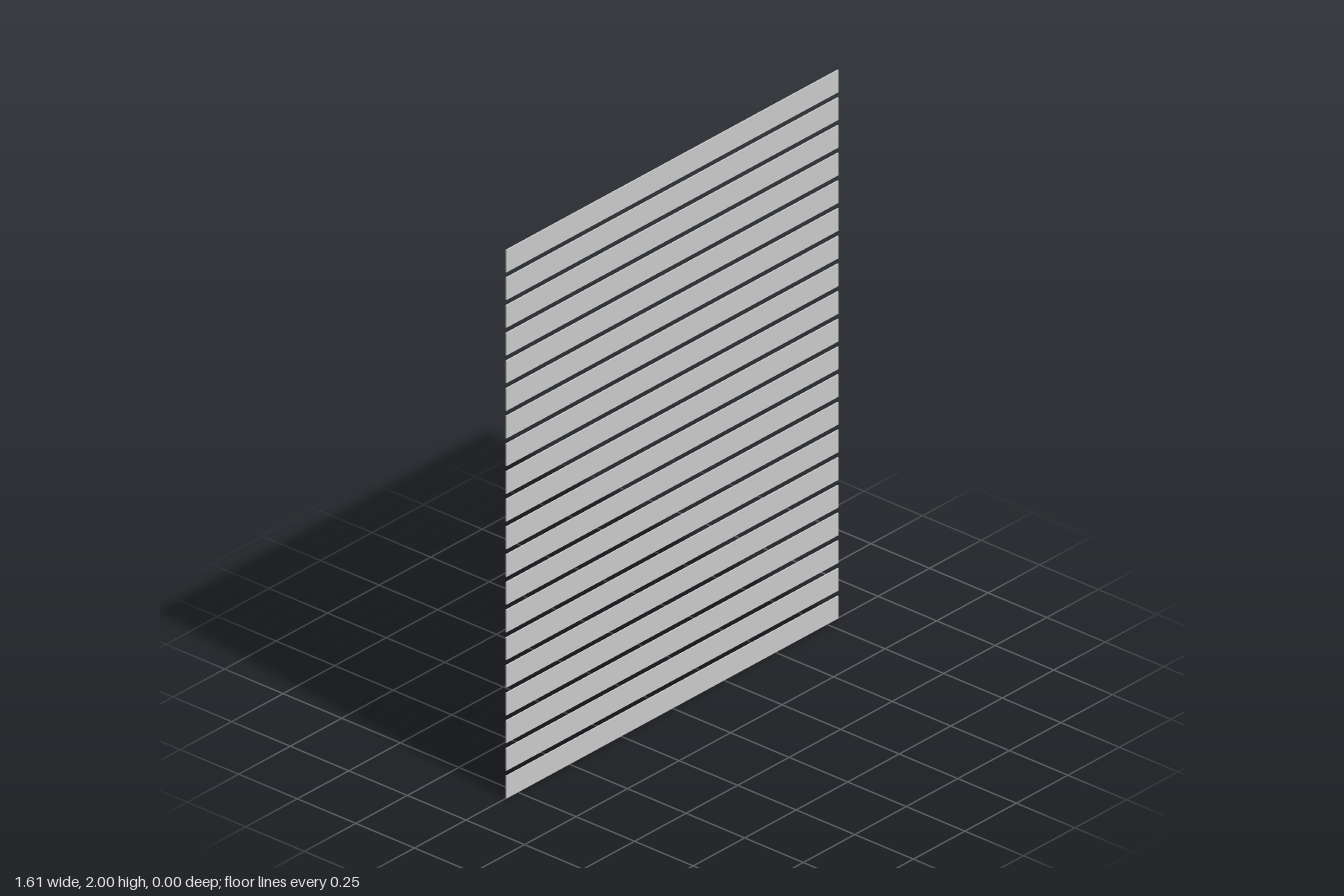
import * as THREE from 'three';

const COUNT = 20;
const WIDTH = 1.612;
const SLAT_HEIGHT = 0.081;
const THICKNESS = 0.005;

export function createModel() {
  const model = new THREE.Group();
  model.name = 'slattedBlind';
  const material = new THREE.MeshStandardMaterial({ color: 0xcccccc });
  const geometry = new THREE.BoxGeometry(WIDTH, SLAT_HEIGHT, THICKNESS);
  const pitch = (2 - SLAT_HEIGHT) / (COUNT - 1);

  // Evenly spaced thin horizontal slats, bottom to top
  for (let i = 0; i < COUNT; i++) {
    const slat = new THREE.Mesh(geometry, material);
    slat.name = `slat${i + 1}`;
    slat.position.y = SLAT_HEIGHT / 2 + i * pitch;
    model.add(slat);
  }
  return model;
}
